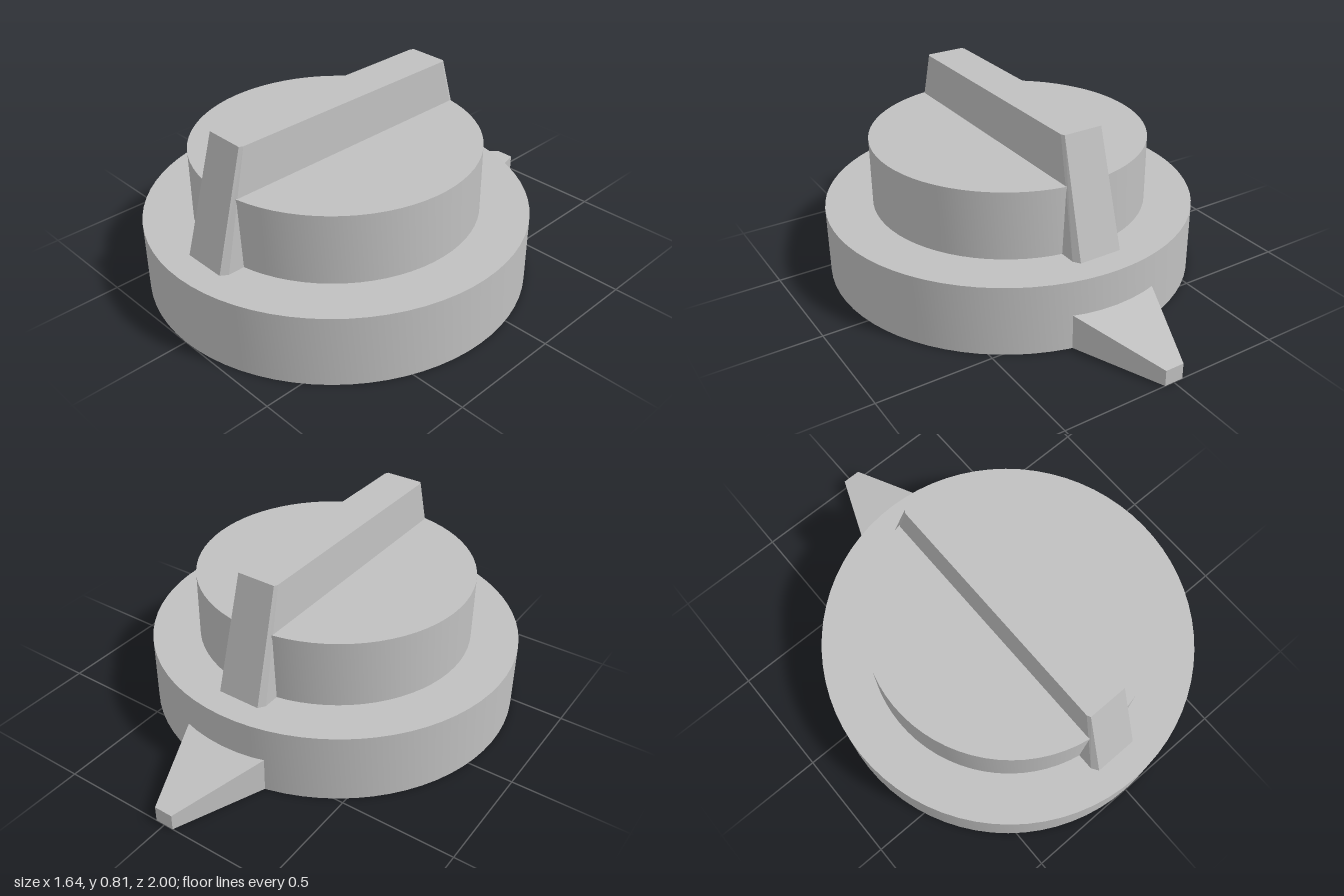
import * as THREE from 'three';
import { toCreasedNormals } from 'three/addons/utils/BufferGeometryUtils.js';

const CENTRE_Z = 0.18;

// Solid through matching convex rings, with crisp edges and closed ends.
// Each ring runs counter-clockwise seen from the last ring's side.
function loft(rings) {
  const n = rings[0].length, index = [];
  for (let r = 0; r < rings.length - 1; r++) {
    for (let i = 0; i < n; i++) {
      const a = r * n + i, b = r * n + (i + 1) % n;
      index.push(a, b, b + n, a, b + n, a + n);
    }
  }
  const last = (rings.length - 1) * n;
  for (let i = 1; i < n - 1; i++) {
    index.push(0, i + 1, i, last, last + i, last + i + 1);
  }
  const geo = new THREE.BufferGeometry();
  geo.setAttribute('position', new THREE.Float32BufferAttribute(rings.flat(2), 3));
  geo.setIndex(index);
  const flat = geo.toNonIndexed();
  flat.computeVertexNormals();
  return flat;
}

// Horizontal rectangle with cut corners
function gripRing(y, w, d, cx, cz) {
  return [
    [w, d - cz], [w, cz - d], [w - cx, -d], [cx - w, -d],
    [-w, cz - d], [-w, d - cz], [cx - w, d], [w - cx, d],
  ].map(([x, z]) => [x, y, z]);
}

// Upright rectangle across the pointer
function pointerRing(z, w, top) {
  return [[w, 0, z], [-w, 0, z], [-w, top, z], [w, top, z]];
}

export function createModel() {
  const group = new THREE.Group();
  const grey = new THREE.MeshStandardMaterial({ color: 0xc0c0c0 });
  grey.name = 'grey plastic';

  const add = (name, geometry, z = 0) => {
    const mesh = new THREE.Mesh(geometry, grey);
    mesh.name = name;
    mesh.position.z = z;
    group.add(mesh);
  };

  // Stepped round body, hollow underneath
  const profile = [
    [0, 0.27], [0.78, 0.27], [0.78, 0], [0.82, 0],
    [0.82, 0.31], [0.61, 0.31], [0.61, 0.61], [0, 0.61],
  ].map(([x, y]) => new THREE.Vector2(x, y));
  add('knobBody', toCreasedNormals(new THREE.LatheGeometry(profile, 72), 0.6), CENTRE_Z);

  // Tapered finger grip across the top
  add('grip', loft([
    gripRing(0.3, 0.117, 0.703, 0.02, 0.03),
    gripRing(0.81, 0.095, 0.56, 0.008, 0.015),
  ]), CENTRE_Z);

  // Rib under the grip, inside the hollow
  add('innerRib', loft([
    gripRing(0.1, 0.12, 0.66, 0.015, 0.02),
    gripRing(0.28, 0.117, 0.63, 0.015, 0.02),
  ]), CENTRE_Z);

  // Wedge-shaped pointer at the back, its root passing through the wall
  add('pointer', loft([
    pointerRing(-0.51, 0.24, 0.177),
    pointerRing(-1, 0.042, 0.07),
  ]));

  return group;
}
